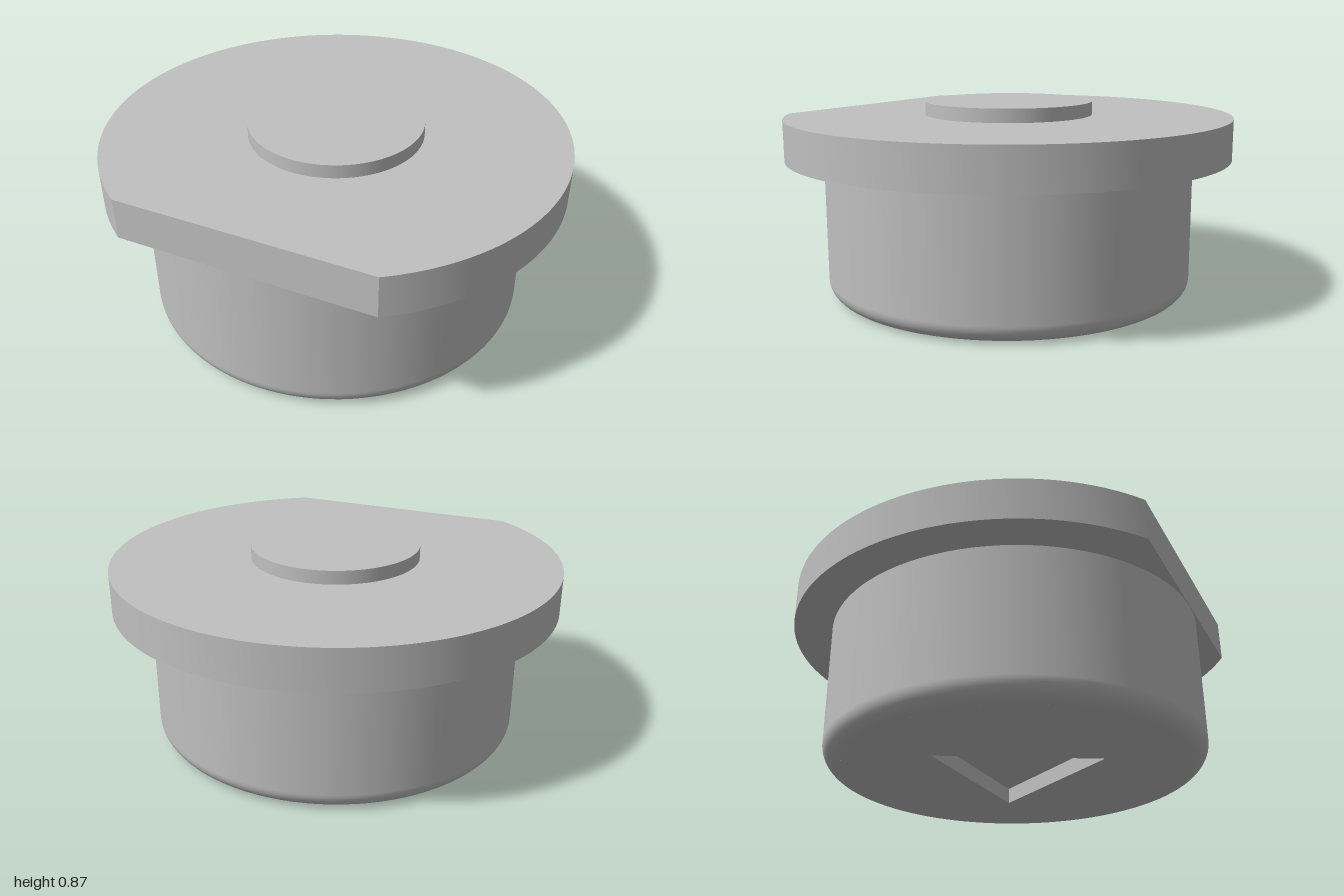
import * as THREE from 'three';
import { toCreasedNormals } from 'three/addons/utils/BufferGeometryUtils.js';

const AXIS_Z = 0.083; // round parts share an axis set forward of the centre
const BODY_R = 0.832, FILLET = 0.08, BODY_TOP = 0.625;
const FLANGE_TOP = 0.805, FLAT = 0.834, BOSS_TOP = 0.865;
const RECESS_R = 0.417, RECESS_DEPTH = 0.07;

// Extrudes an (x, z) outline upward between two heights
function slab(shape, bottom, top) {
  const geo = new THREE.ExtrudeGeometry(shape, { depth: top - bottom, bevelEnabled: false, curveSegments: 96 });
  geo.rotateX(Math.PI / 2).translate(0, top, 0);
  return toCreasedNormals(geo, 0.4);
}

export function createModel() {
  const model = new THREE.Group();
  model.name = 'flangedPlug';
  const grey = new THREE.MeshStandardMaterial({ color: 0xc0c0c0 });
  grey.name = 'light grey';

  const add = (name, geometry) => {
    const mesh = new THREE.Mesh(geometry, grey);
    mesh.name = name;
    mesh.position.z = AXIS_Z;
    model.add(mesh);
  };

  // Body wall with a rounded lower edge
  const profile = [];
  for (let i = 0; i <= 10; i++) {
    const a = (i / 10) * Math.PI / 2;
    profile.push(new THREE.Vector2(BODY_R - FILLET + FILLET * Math.sin(a), FILLET - FILLET * Math.cos(a)));
  }
  profile.push(new THREE.Vector2(BODY_R, BODY_TOP));
  add('bodyWall', new THREE.LatheGeometry(profile, 96));

  // Underside with a triangular recess pointing to the front
  const triangle = [90, 210, 330].map((deg) => {
    const a = THREE.MathUtils.degToRad(deg);
    return new THREE.Vector2(RECESS_R * Math.cos(a), RECESS_R * Math.sin(a));
  });
  const underside = new THREE.Shape().absarc(0, 0, BODY_R - FILLET, 0, Math.PI * 2);
  underside.holes.push(new THREE.Path(triangle).closePath());
  add('underside', slab(underside, 0, RECESS_DEPTH));
  add('recessFloor', slab(new THREE.Shape(triangle), RECESS_DEPTH, RECESS_DEPTH + 0.02));

  // Flange: a disc cut by a straight edge at the front
  const cut = Math.asin(FLAT);
  const outline = new THREE.Shape().absarc(0, 0, 1, Math.PI - cut, Math.PI * 2 + cut);
  outline.closePath();
  add('flange', slab(outline, BODY_TOP, FLANGE_TOP));

  // Raised boss on top
  const boss = new THREE.CylinderGeometry(0.378, 0.378, BOSS_TOP - FLANGE_TOP, 96);
  add('boss', boss.translate(0, (BOSS_TOP + FLANGE_TOP) / 2, 0));

  return model;
}
